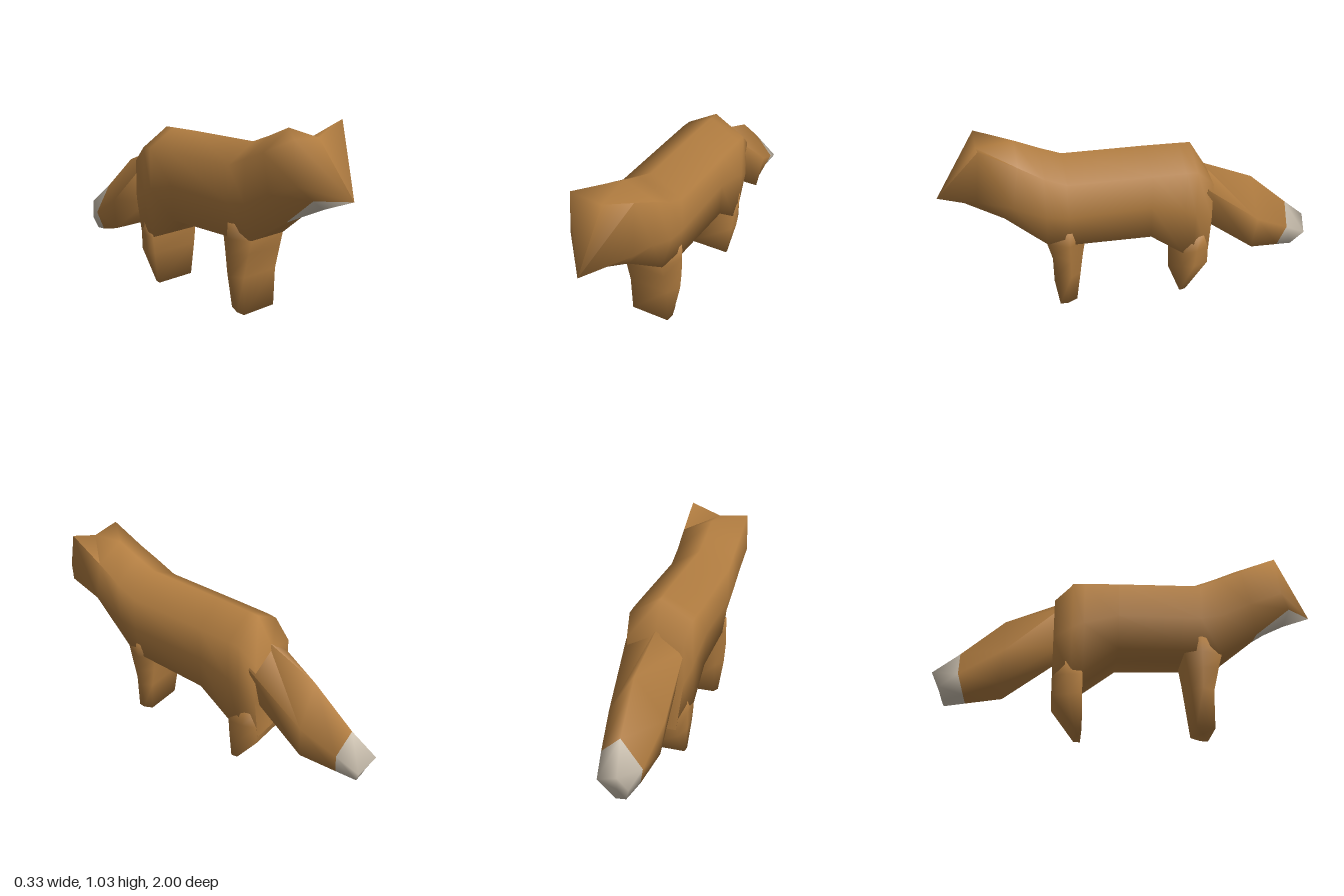
import * as THREE from 'three';
import { toCreasedNormals } from 'three/addons/utils/BufferGeometryUtils.js';

const fur = new THREE.MeshStandardMaterial({ color: 0xb37e41 });
fur.name = 'orangeFur';
const pale = new THREE.MeshStandardMaterial({ color: 0xd0c5b4 });
pale.name = 'paleFur';

// Skins a list of rings (clockwise seen from the first ring) and closes both
// ends with a fan. isPale(row, side) picks the pale quads; row -1 is the start
// cap and the last row is the end cap.
function loft(name, rings, { start, isPale = () => false } = {}) {
  const n = rings[0].length;
  const middle = (ring) => [0, 1, 2].map((k) => ring.reduce((s, p) => s + p[k], 0) / n);
  const last = rings.length - 1;
  const points = [...rings.flat(), start || middle(rings[0]), middle(rings[last])];
  const faces = [[], []];
  for (let j = 0; j < n; j++) {
    const k = (j + 1) % n;
    faces[+isPale(-1, j)].push(n * rings.length, k, j);
    for (let i = 0; i < last; i++) {
      const a = i * n + j, b = i * n + k;
      faces[+isPale(i, j)].push(a, b, b + n, a, b + n, a + n);
    }
    faces[+isPale(last, j)].push(n * rings.length + 1, last * n + j, last * n + k);
  }
  const geometry = new THREE.BufferGeometry();
  geometry.setAttribute('position', new THREE.Float32BufferAttribute(points.flat(), 3));
  geometry.setIndex(faces.flat());
  geometry.addGroup(0, faces[0].length, 0);
  if (faces[1].length) geometry.addGroup(faces[0].length, faces[1].length, 1);
  const mesh = new THREE.Mesh(toCreasedNormals(geometry, 1.9), [fur, pale]);
  mesh.name = name;
  return mesh;
}

// Eight-sided body section: ridge, corners, cheeks, lower edges and belly line
function section(z, ridge, corner, cheek, bottom, width, bottomWidth) {
  return [
    [0, ridge, z], [width, corner, z], [width, cheek, z], [bottomWidth, bottom, z],
    [0, bottom, z], [-bottomWidth, bottom, z], [-width, cheek, z], [-width, corner, z],
  ];
}

// Six-sided slice of a leg block, given as [y, z, halfWidth] at back, middle, front
function slice(back, mid, front) {
  const right = [back, mid, front].map(([y, z, w]) => [w, y, z]);
  const left = [front, mid, back].map(([y, z, w]) => [-w, y, z]);
  return [...right, ...left];
}

export function createModel() {
  const fox = new THREE.Group();
  fox.name = 'fox';

  // Head and body: the face is a fan from the nose to the first ring, whose
  // upper corners are the ears; the muzzle underside is pale
  const face = [
    [0, 0.965, 0.785], [0.165, 1.03, 0.78], [0.165, 0.76, 0.81], [0.065, 0.705, 0.87],
    [-0.02, 0.645, 0.845], [-0.11, 0.705, 0.86], [-0.165, 0.77, 0.81], [-0.165, 0.98, 0.785],
  ];
  const throat = [
    [0, 0.985, 0.6], [0.165, 0.92, 0.6], [0.165, 0.7, 0.64], [0.05, 0.575, 0.68],
    [-0.01, 0.565, 0.68], [-0.085, 0.56, 0.68], [-0.165, 0.7, 0.64], [-0.165, 0.89, 0.6],
  ];
  fox.add(loft('headAndBody', [
    face,
    throat,
    section(0.48, 0.93, 0.84, 0.62, 0.425, 0.165, 0.11),
    section(0.37, 0.885, 0.79, 0.6, 0.425, 0.165, 0.145),
    section(-0.06, 0.875, 0.78, 0.6, 0.415, 0.165, 0.155),
    section(-0.24, 0.868, 0.775, 0.55, 0.275, 0.165, 0.15),
    section(-0.3, 0.865, 0.77, 0.52, 0.25, 0.163, 0.142),
    section(-0.393, 0.71, 0.68, 0.47, 0.2, 0.145, 0.105),
  ], { start: [0, 0.71, 1], isPale: (row, side) => row < 1 && (side === 3 || side === 4) }));

  // Front legs, one block
  fox.add(loft('frontLegs', [
    slice([0.5, 0.27, 0.12], [0.5, 0.37, 0.16], [0.5, 0.47, 0.105]),
    slice([0.42, 0.285, 0.115], [0.42, 0.37, 0.16], [0.42, 0.48, 0.108]),
    slice([0.33, 0.3, 0.115], [0.33, 0.37, 0.16], [0.35, 0.462, 0.11]),
    slice([0.22, 0.315, 0.115], [0.22, 0.37, 0.15], [0.22, 0.432, 0.11]),
    slice([0.035, 0.337, 0.1], [0.025, 0.39, 0.114], [0.02, 0.43, 0.105]),
  ]));

  // Hind legs, one block, narrower toward the back
  fox.add(loft('hindLegs', [
    slice([0.36, -0.39, 0.12], [0.36, -0.33, 0.145], [0.32, -0.25, 0.148]),
    slice([0.27, -0.392, 0.115], [0.27, -0.32, 0.145], [0.27, -0.24, 0.152]),
    slice([0.165, -0.393, 0.112], [0.165, -0.31, 0.14], [0.18, -0.24, 0.143]),
    slice([0, -0.272, 0.11], [0, -0.255, 0.114], [0, -0.237, 0.116]),
  ]));

  // Tail with a pale tip: top, right, two lower corners, left
  fox.add(loft('tail', [
    [[0, 0.74, -0.36], [0.16, 0.66, -0.36], [0.1, 0.44, -0.36], [-0.1, 0.44, -0.36], [-0.14, 0.64, -0.36]],
    [[0.01, 0.62, -0.65], [0.14, 0.42, -0.66], [0.105, 0.22, -0.65], [-0.11, 0.22, -0.65], [-0.132, 0.4, -0.63]],
    [[0, 0.42, -0.87], [0.105, 0.32, -0.85], [0.045, 0.166, -0.83], [-0.075, 0.168, -0.83], [-0.1, 0.27, -0.86]],
    [[-0.03, 0.3, -1], [0.08, 0.25, -0.97], [0.01, 0.135, -0.93], [-0.045, 0.145, -0.935], [-0.065, 0.21, -0.955]],
  ], { isPale: (row) => row >= 2 }));

  return fox;
}
